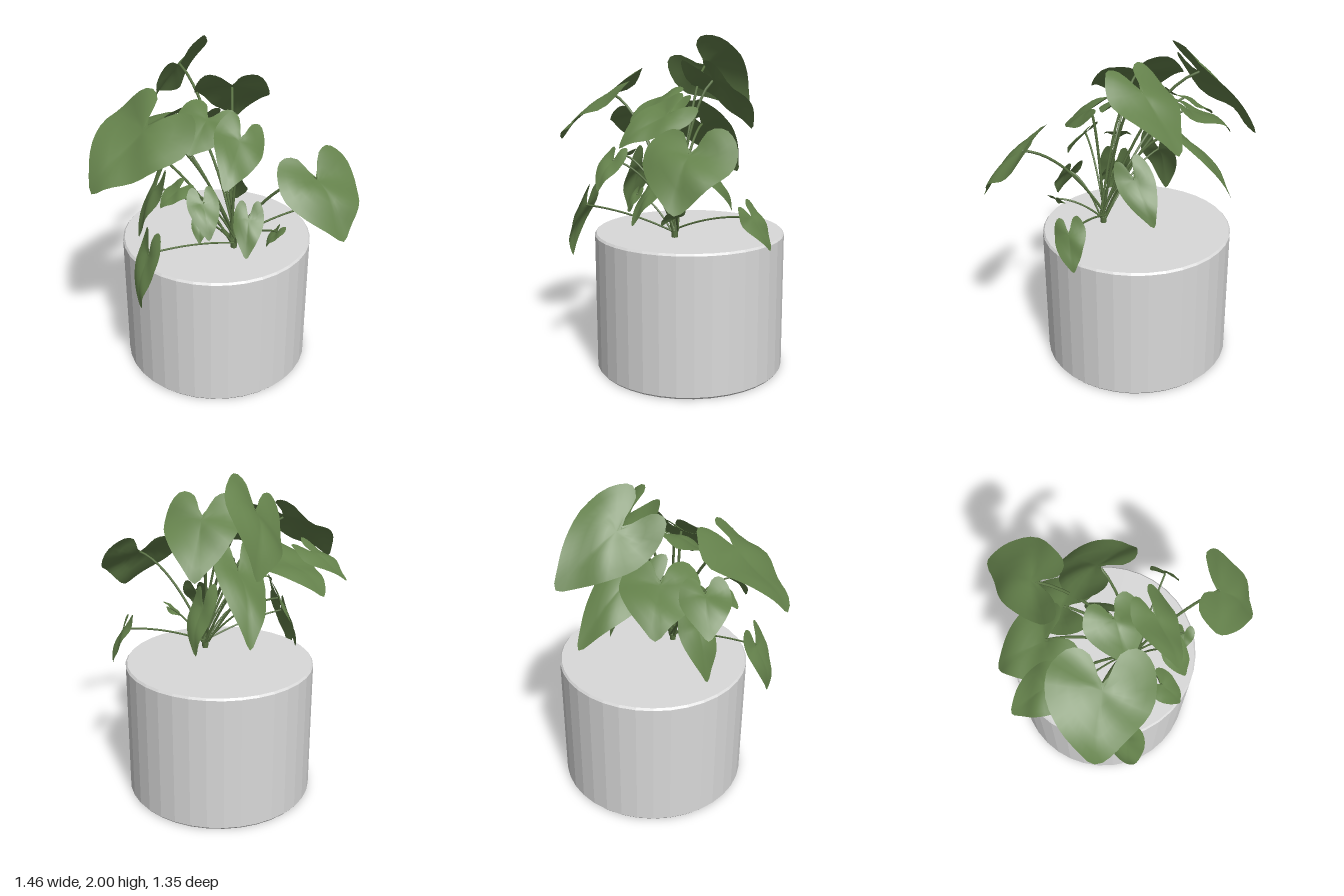
import * as THREE from 'three';

const V = (a) => new THREE.Vector3(...a);
const UP = V([0, 1, 0]);

const leafMat = new THREE.MeshStandardMaterial({ color: 0x64814b, side: THREE.DoubleSide });
leafMat.name = 'leaf green';
const stemMat = new THREE.MeshStandardMaterial({ color: 0x5a7343 });
stemMat.name = 'stem green';
const potMat = new THREE.MeshStandardMaterial({ color: 0xd9d9d9, flatShading: true });
potMat.name = 'pot grey';

// Heart outline: u across (-1..1), v along from stalk (0) to tip (1)
const half = [[0.27, -0.36], [0.62, -0.42], [0.93, -0.16], [0.97, 0.15], [0.74, 0.48], [0.34, 0.8]];
const mirrored = half.map(([u, v]) => [-u, v]).reverse();
const outline = new THREE.CatmullRomCurve3(
  [[0, -0.03], ...half, [0, 1], ...mirrored].map(([u, v]) => V([u, v, 0])), true
).getSpacedPoints(40).slice(0, 40);

// Leaf blade: rings of the heart outline, arched along its length and across the midrib
function leafGeometry(base, tip, ratio, roll, seed) {
  const along = tip.clone().sub(base);
  const len = along.length(), wide = len * ratio;
  const across = along.clone().cross(UP).setLength(wide)
    .applyAxisAngle(along.clone().normalize(), roll);
  const normal = across.clone().cross(along).normalize();
  const pos = [], idx = [], rings = 5, n = outline.length;
  const put = (u, v) => {
    const arch = v > 0 ? 0.3 * len * v * (1 - v) : -0.12 * len * v * v;
    const fold = wide * (0.1 * Math.abs(u) - 0.2 * u * u);
    const wave = 0.05 * wide * Math.sin(7 * v + 3 * u + seed);
    const p = base.clone().addScaledVector(along, v).addScaledVector(across, u)
      .addScaledVector(normal, arch + fold + wave);
    pos.push(p.x, p.y, p.z);
  };
  put(0, 0.06);
  for (let r = 1; r <= rings; r++) {
    const t = r / rings;
    outline.forEach((o) => put(o.x * t, 0.06 + (o.y - 0.06) * t));
  }
  for (let i = 0; i < n; i++) {
    const j = (i + 1) % n;
    idx.push(0, 1 + i, 1 + j);
    for (let r = 0; r < rings - 1; r++) {
      const a = 1 + r * n, b = a + n;
      idx.push(a + i, b + i, b + j, a + i, b + j, a + j);
    }
  }
  const g = new THREE.BufferGeometry();
  g.setAttribute('position', new THREE.Float32BufferAttribute(pos, 3));
  g.setIndex(idx);
  g.computeVertexNormals();
  return g;
}

// Each leaf: name, stalk point, tip, then half width / length and roll where not the usual
const leaves = [
  ['tallBackLeaf', [-0.18, 1.81, -0.3], [-0.15, 1.53, -0.67], 0.48, -0.8],
  ['backRightLeaf', [0.1, 1.73, -0.09], [0.15, 1.43, -0.37], 0.53],
  ['backLeftLeaf', [-0.33, 1.52, -0.15], [-0.57, 1.34, -0.32], 0.64],
  ['lowerBackLeaf', [-0.1, 1.46, -0.2], [-0.14, 1.12, -0.56], 0.33, -0.4],
  ['farLeftLeaf', [-0.54, 1.5, 0], [-0.73, 1.35, -0.1], 0.54],
  ['largeLeftLeaf', [-0.4, 1.65, 0.26], [-0.71, 1.36, 0.42], 0.65, -0.2],
  ['hangingLeftLeaf', [-0.43, 0.99, 0.45], [-0.49, 0.68, 0.52], 0.33, 0.4],
  ['largeRightLeaf', [0.49, 1.4, 0.45], [0.6, 1.12, 0.66], 0.7],
  ['centreLeaf', [-0.06, 1.62, 0.1], [-0.19, 1.49, 0.29], 0.68, -0.25],
  ['frontCentreLeaf', [0.1, 1.56, 0.25], [-0.02, 1.38, 0.51], 0.44, -0.5],
  ['frontHeartLeaf', [-0.13, 1.3, 0.47], [-0.11, 1.14, 0.6]],
  ['frontLowLeaf', [0.13, 1.15, 0.4], [0.1, 0.96, 0.52], 0.38],
  ['rightLowLeaf', [0.57, 1.02, 0.07], [0.64, 0.83, -0.01], 0.45, 0.6],
  ['smallRightLeaf', [0.3, 1.04, 0.38], [0.23, 0.97, 0.42], 0.6, 0.4],
  ['smallFrontLeaf', [-0.13, 1.08, 0.3], [-0.14, 0.98, 0.36]],
  ['leftLowLeaf', [-0.36, 1.2, 0.07], [-0.47, 0.88, 0.08], 0.36],
  ['smallLeftLeaf', [-0.24, 1.3, 0.3], [-0.35, 1.22, 0.36], 0.6],
  ['backLowLeaf', [0.1, 1.2, -0.05], [0.15, 0.95, -0.22], 0.37, 0.6],
];

export function createModel() {
  const model = new THREE.Group();
  model.name = 'pottedPlant';

  // Solid pot with small bevels at rim and foot
  const profile = [[0, 0], [0.56, 0], [0.57, 0.012], [0.57, 0.828], [0.56, 0.84], [0, 0.84]];
  const pot = new THREE.Mesh(
    new THREE.LatheGeometry(profile.map(([x, y]) => new THREE.Vector2(x, y)), 36), potMat);
  pot.name = 'pot';
  model.add(pot);

  // Leaves on arching stems that spring from one clump
  leaves.forEach(([name, base, tip, ratio = 0.43, roll = 0], i) => {
    const plant = new THREE.Group();
    plant.name = name;
    const end = V(base);
    const blade = new THREE.Mesh(leafGeometry(end, V(tip), ratio, roll, i * 1.7), leafMat);
    blade.name = 'blade';

    const a = i * 2.4;
    const root = V([0.08 + 0.02 * Math.cos(a), 0.88, 0.19 + 0.02 * Math.sin(a)]);
    const bend = root.clone().lerp(end, 0.5);
    bend.y = root.y + (end.y - root.y) * 0.9;
    const path = new THREE.QuadraticBezierCurve3(root, bend, end);
    const stem = new THREE.Mesh(
      new THREE.TubeGeometry(path, 14, end.y > 1.35 ? 0.008 : 0.006, 6), stemMat);
    stem.name = 'stem';
    plant.add(blade, stem);
    model.add(plant);
  });

  // Short sheath joining the clump to the pot
  const crown = new THREE.Mesh(new THREE.CylinderGeometry(0.022, 0.018, 0.06, 8), stemMat);
  crown.name = 'crown';
  crown.position.set(0.08, 0.865, 0.19);
  model.add(crown);

  return model;
}
